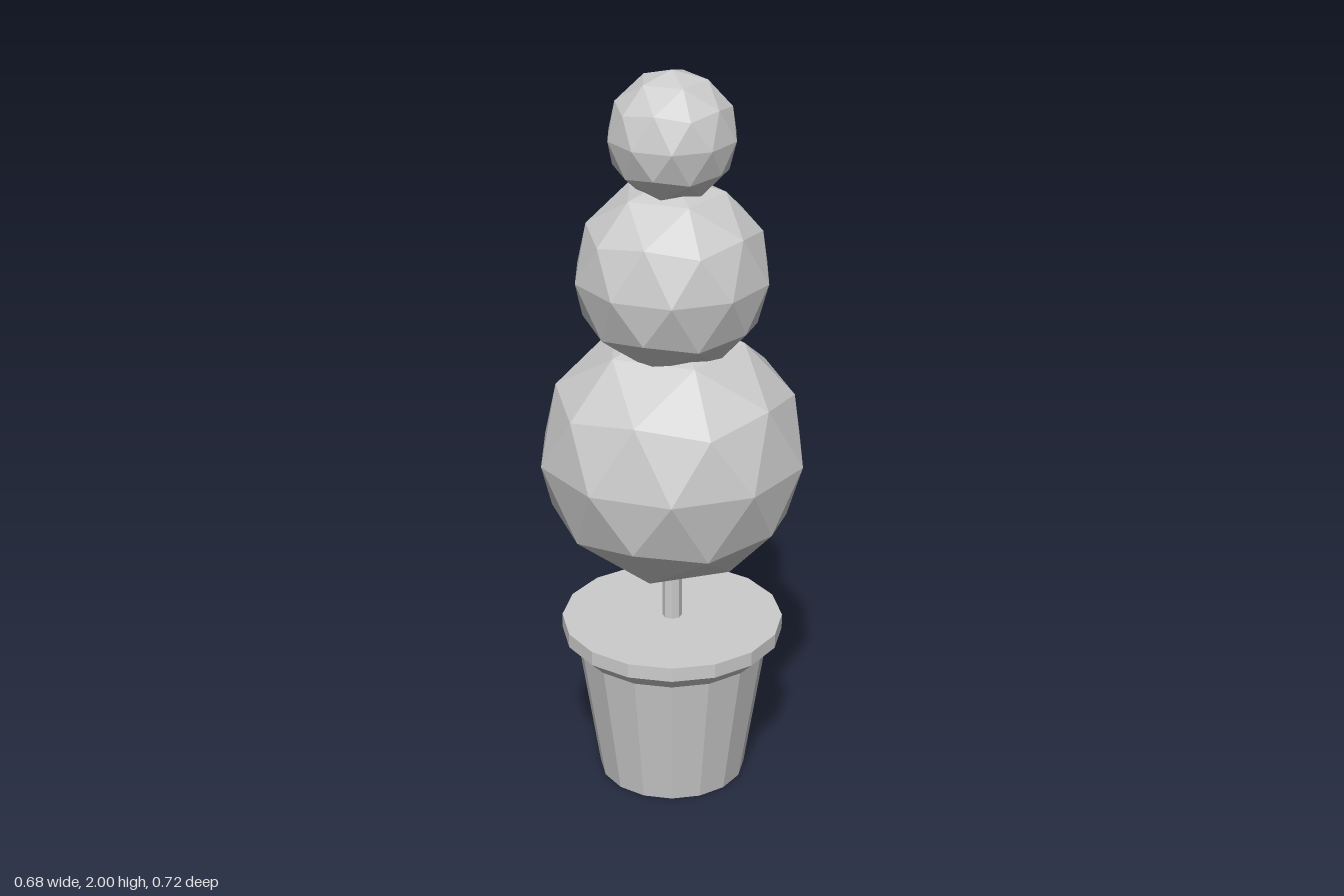
import * as THREE from 'three';

const grey = new THREE.MeshStandardMaterial({ color: 0xcccccc });
grey.name = 'plain grey';

// Gives every face its own flat normal
function faceted(geometry) {
  const flat = geometry.index ? geometry.toNonIndexed() : geometry;
  flat.computeVertexNormals();
  return flat;
}

function addPart(group, name, geometry, y = 0) {
  const mesh = new THREE.Mesh(faceted(geometry), grey);
  mesh.name = name;
  mesh.position.y = y;
  group.add(mesh);
}

export function createModel() {
  const group = new THREE.Group();
  group.name = 'pottedTopiary';

  // Tapered pot with a flared rim
  addPart(group, 'pot', new THREE.CylinderGeometry(0.26, 0.2, 0.39, 16), 0.195);
  const rimProfile = [[0, 0.385], [0.26, 0.385], [0.3, 0.425], [0.3, 0.465], [0, 0.465]]
    .map(([r, y]) => new THREE.Vector2(r, y));
  addPart(group, 'potRim', new THREE.LatheGeometry(rimProfile, 16));

  // Thin trunk running from the pot into the lowest ball
  addPart(group, 'trunk', new THREE.CylinderGeometry(0.027, 0.027, 0.24, 8), 0.58);

  // Three clipped balls, each with one corner pointing straight up
  const tilt = Math.atan(2 / (1 + Math.sqrt(5)));
  const balls = [
    ['lowerBall', 0.36, 0.96],
    ['middleBall', 0.26, 1.46],
    ['upperBall', 0.17, 1.83],
  ];
  for (const [name, radius, y] of balls) {
    addPart(group, name, new THREE.IcosahedronGeometry(radius, 1).rotateZ(-tilt), y);
  }
  return group;
}
